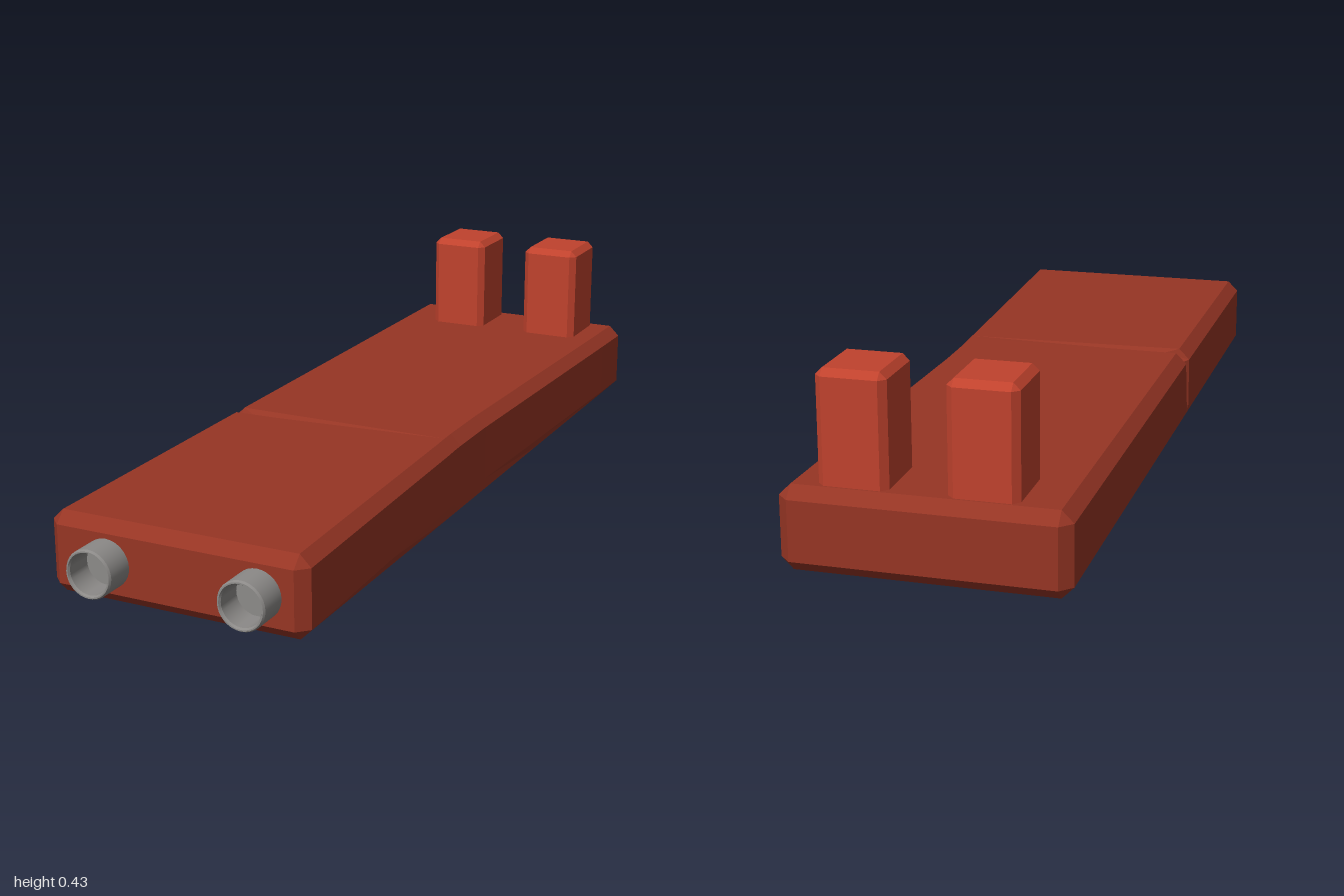
import * as THREE from 'three';
import { ConvexGeometry } from 'three/addons/geometries/ConvexGeometry.js';
import { toCreasedNormals } from 'three/addons/utils/BufferGeometryUtils.js';

const W = 0.307, H = 0.185, B = 0.026; // slab half width, height, chamfer

// Box with every edge chamfered, as the hull of its 24 corner points
function chamferBox(w, h, d, b) {
  const pts = [];
  for (const x of [-1, 1]) for (const y of [-1, 1]) for (const z of [-1, 1])
    for (let k = 0; k < 3; k++) {
      const inset = [b, b, b];
      inset[k] = 0;
      pts.push(new THREE.Vector3(
        x * (w / 2 - inset[0]), y * (h / 2 - inset[1]), z * (d / 2 - inset[2])));
    }
  return new ConvexGeometry(pts);
}

// Eight-point slab section; pinch narrows the +x side, notch dents the -x top edge
function section(z, pinch = 0, notch = 0) {
  const r = W - pinch;
  return [
    [-W + B, 0], [W - B, 0], [r, B], [r, H - B],
    [r - B, H], [-W + B + 0.037 * notch, H - 0.008 * notch],
    [-W + 0.02 * notch, H - B - 0.006 * notch], [-W, B],
  ].map(([x, y]) => new THREE.Vector3(x, y, z));
}

// End section: the octagon folded onto the flat end rectangle
function endSection(z) {
  return section(z).map(p => new THREE.Vector3(
    THREE.MathUtils.clamp(p.x, -W + B, W - B),
    THREE.MathUtils.clamp(p.y, B, H - B), z));
}

function slabGeometry() {
  const rings = [
    endSection(-1), section(-1 + B), section(-0.85, 0.003), section(-0.4, 0.016), section(-0.05, 0.026),
    section(0.1, 0.026), section(0.14, 0.025), section(0.16, 0.024, 1), section(0.18, 0.023),
    section(0.5, 0.013), section(0.93 - B), endSection(0.93),
  ];
  const pos = [];
  const tri = (a, b, c) => {
    if (a.equals(b) || b.equals(c) || a.equals(c)) return;
    for (const p of [a, b, c]) pos.push(p.x, p.y, p.z);
  };
  for (let s = 0; s < rings.length - 1; s++)
    for (let i = 0; i < 8; i++) {
      const j = (i + 1) % 8, p = rings[s], q = rings[s + 1];
      tri(p[i], p[j], q[j]);
      tri(p[i], q[j], q[i]);
    }
  const back = rings[0], front = rings[rings.length - 1];
  for (let i = 1; i < 7; i++) {
    tri(back[0], back[i + 1], back[i]);
    tri(front[0], front[i], front[i + 1]);
  }
  const g = new THREE.BufferGeometry();
  g.setAttribute('position', new THREE.Float32BufferAttribute(pos, 3));
  g.computeVertexNormals();
  return g;
}

export function createModel() {
  const model = new THREE.Group();
  model.name = 'slabWithPegs';

  const darkRed = new THREE.MeshStandardMaterial({ color: 0x963524 });
  darkRed.name = 'darkRed';
  const brightRed = new THREE.MeshStandardMaterial({ color: 0xc0422d });
  brightRed.name = 'brightRed';
  const grey = new THREE.MeshStandardMaterial({ color: 0x8c8a88 });
  grey.name = 'grey';

  const add = (name, geometry, material, x = 0, y = 0, z = 0) => {
    const mesh = new THREE.Mesh(geometry, material);
    mesh.name = name;
    mesh.position.set(x, y, z);
    model.add(mesh);
  };

  // Main slab
  add('slab', slabGeometry(), darkRed);

  // Upright pegs at the back, sunk slightly into the slab
  const peg = chamferBox(0.15, 0.278, 0.165, 0.015);
  add('rightPeg', peg, brightRed, -0.12, 0.289, -0.8875);
  add('leftPeg', peg, brightRed, 0.152, 0.289, -0.8875);

  // Hollow sockets on the front end
  const profile = [
    [0.055, -0.02], [0.055, 0.065], [0.052, 0.07], [0.049, 0.07],
    [0.046, 0.065], [0.046, 0.004], [0, 0.004],
  ].map(([r, z]) => new THREE.Vector2(r, z));
  const socket = toCreasedNormals(new THREE.LatheGeometry(profile, 32).rotateX(Math.PI / 2), 0.5);
  add('rightSocket', socket, grey, -0.16, 0.093, 0.93);
  add('leftSocket', socket, grey, 0.198, 0.093, 0.93);

  return model;
}
